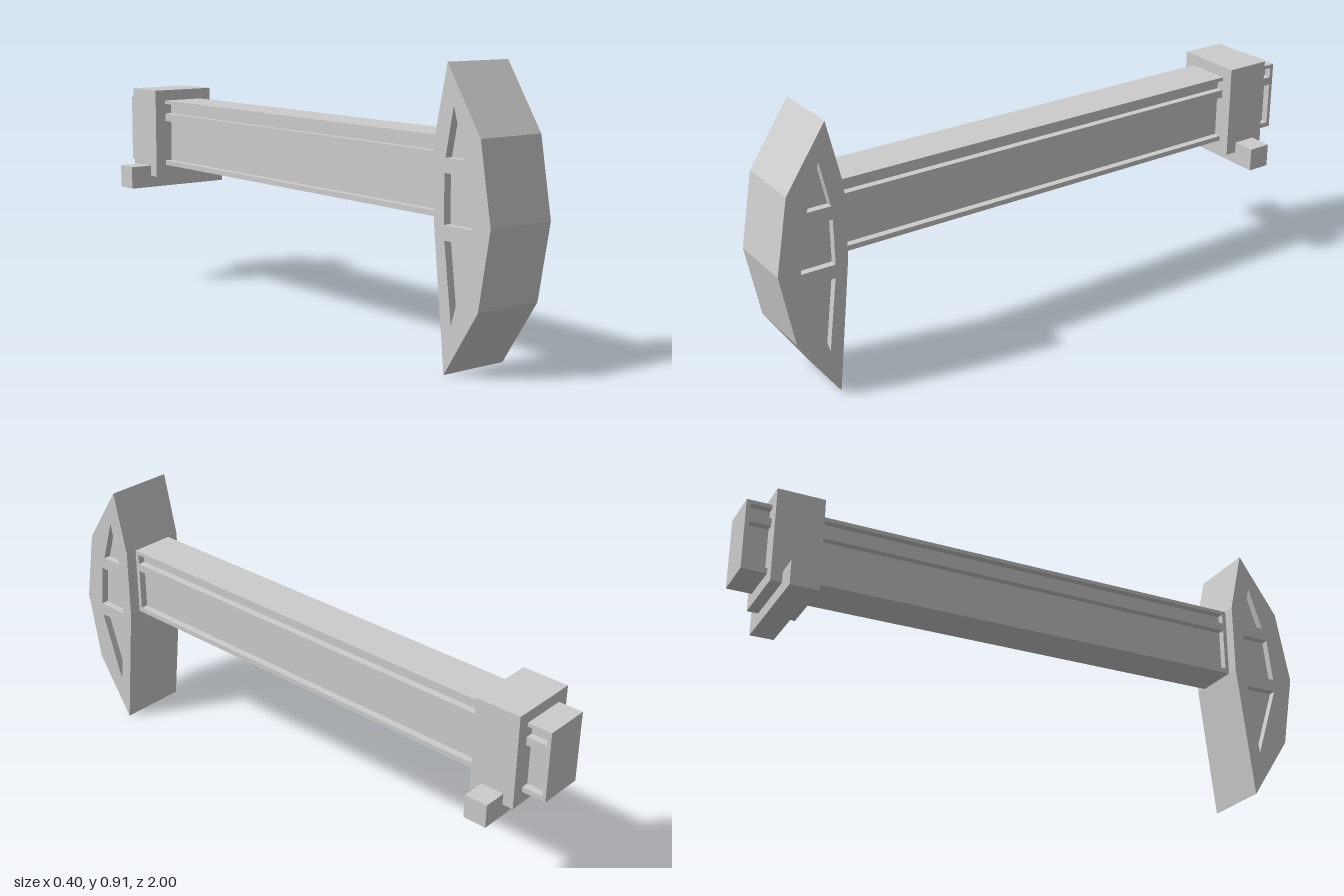
import * as THREE from 'three';

const material = new THREE.MeshStandardMaterial({ color: 0xcccccc, flatShading: true });

// Slab with a side outline in (z, y), symmetric in x, with sunken pockets on both sides.
function pocketedSlab(name, outlinePts, pocketPts, halfWidth, depth) {
  const toLoop = (pts, ccw) => {
    const loop = pts.map(([z, y]) => new THREE.Vector2(z, y));
    return (THREE.ShapeUtils.area(loop) > 0) === ccw ? loop : loop.reverse();
  };
  const positions = [];
  const put = (p, w) => positions.push(-w, p.y, p.x);
  const tri = (a, b, c) => [a, b, c].forEach(([p, w]) => put(p, w));

  // Flat face at w; side -1 flips the winding
  const face = (contour, holes, w, side) => {
    const all = [contour, ...holes].flat();
    for (const [a, b, c] of THREE.ShapeUtils.triangulateShape(contour, holes)) {
      const order = side > 0 ? [a, b, c] : [a, c, b];
      tri(...order.map((i) => [all[i], w]));
    }
  };
  const walls = (loop, lo, hi) => loop.forEach((p, i) => {
    const q = loop[(i + 1) % loop.length];
    tri([p, lo], [q, lo], [q, hi]);
    tri([p, lo], [q, hi], [p, hi]);
  });

  const outline = toLoop(outlinePts, true);
  const holes = pocketPts.map((pts) => toLoop(pts, false));
  const inner = halfWidth - depth;
  walls(outline, -halfWidth, halfWidth);
  for (const side of [1, -1]) {
    face(outline, holes, side * halfWidth, side);
    for (const hole of holes) {
      if (side > 0) walls(hole, inner, halfWidth);
      else walls(hole, -halfWidth, -inner);
      face([...hole].reverse(), [], side * inner, side);
    }
  }

  const geometry = new THREE.BufferGeometry();
  geometry.setAttribute('position', new THREE.Float32BufferAttribute(positions, 3));
  geometry.computeVertexNormals();
  const mesh = new THREE.Mesh(geometry, material);
  mesh.name = name;
  return mesh;
}

// Block given by its half width and its y and z ranges
function block(name, halfWidth, [y0, y1], [z0, z1]) {
  const mesh = new THREE.Mesh(new THREE.BoxGeometry(2 * halfWidth, y1 - y0, z1 - z0), material);
  mesh.position.set(0, (y0 + y1) / 2, (z0 + z1) / 2);
  mesh.name = name;
  return mesh;
}

const rect = (z0, z1, y0, y1) => [[z0, y0], [z1, y0], [z1, y1], [z0, y1]];

export function createModel() {
  const group = new THREE.Group();
  group.name = 'model';

  // Curved, faceted head with triangular and square pockets
  group.add(pocketedSlab(
    'head',
    [[0.817, 0], [0.955, 0.208], [1, 0.453], [0.955, 0.7], [0.817, 0.906], [0.767, 0.69], [0.767, 0.45]],
    [
      [[0.845, 0.784], [0.893, 0.634], [0.813, 0.634]],
      [[0.909, 0.59], [0.81, 0.59], [0.81, 0.44], [0.925, 0.44]],
      [[0.925, 0.395], [0.813, 0.395], [0.845, 0.152]],
    ],
    0.119, 0.025,
  ));

  // Long beam with a narrow and a wide groove on each side
  group.add(pocketedSlab(
    'beam',
    rect(-1, 0.767, 0.45, 0.69),
    [rect(-0.987, 0.753, 0.642, 0.677), rect(-0.987, 0.753, 0.467, 0.614)],
    0.078, 0.025,
  ));

  // Collar around the rear of the beam and the bar under it
  group.add(block('collar', 0.119, [0.408, 0.728], [-0.917, -0.759]));
  group.add(block('crossBar', 0.2, [0.366, 0.446], [-0.88, -0.8]));

  return group;
}
